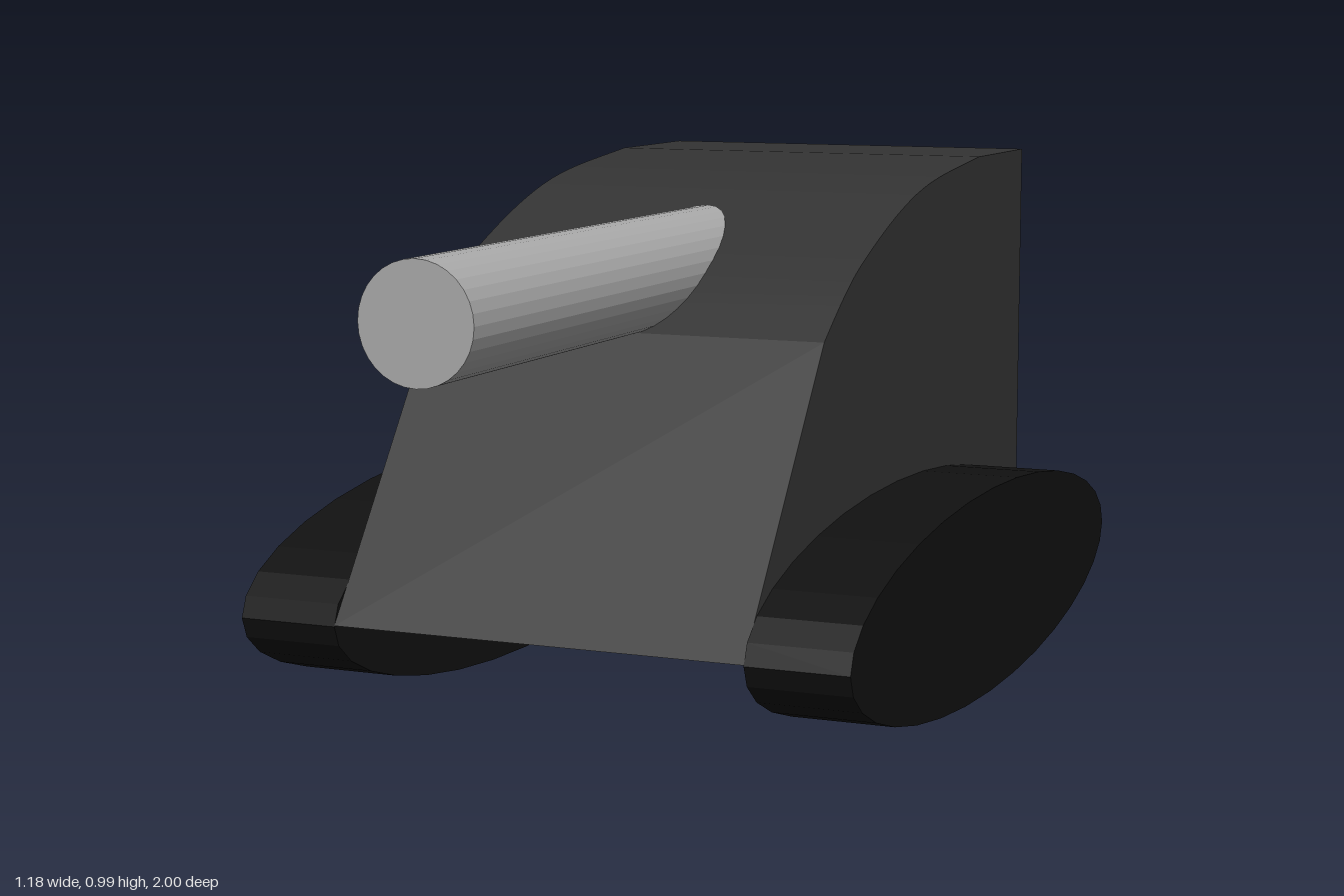
import * as THREE from 'three';

const paint = (color) => new THREE.MeshStandardMaterial({ color, flatShading: true });

export function createModel() {
  const group = new THREE.Group();
  const add = (name, geometry, material) => {
    const mesh = new THREE.Mesh(geometry, material);
    mesh.name = name;
    group.add(mesh);
    return mesh;
  };

  // Hull: side profile (z, y) extruded across the width
  const width = 0.795;
  const profile = new THREE.Shape();
  profile.moveTo(-1, 0.2);
  profile.lineTo(0.58, 0.2);
  profile.lineTo(0.2, 0.71);
  profile.splineThru([[0.1, 0.78], [0, 0.835], [-0.2, 0.912], [-0.4, 0.96], [-0.7, 0.992]]
    .map(([z, y]) => new THREE.Vector2(z, y)));
  profile.lineTo(-1, 0.992);
  profile.closePath();
  const hull = new THREE.ExtrudeGeometry(profile, { depth: width, bevelEnabled: false, curveSegments: 4 });
  hull.translate(0, 0, -width / 2);
  hull.rotateY(-Math.PI / 2);
  add('hull', hull, paint(0x333333));

  // Tracks: flattened elliptical cylinders on each side
  const trackMaterial = paint(0x111111);
  for (const side of [-1, 1]) {
    const track = new THREE.CylinderGeometry(1, 1, 0.193, 32);
    track.rotateZ(Math.PI / 2);
    track.scale(1, 0.198, 0.79);
    add(side > 0 ? 'leftTrack' : 'rightTrack', track, trackMaterial)
      .position.set(side * 0.494, 0.198, -0.21);
  }

  // Gun barrel, its rear end buried in the hull
  const barrel = new THREE.CylinderGeometry(0.105, 0.105, 1.5, 32);
  barrel.rotateX(Math.PI / 2);
  add('barrel', barrel, paint(0xaaaaaa)).position.set(0, 0.81, 0.25);

  return group;
}
